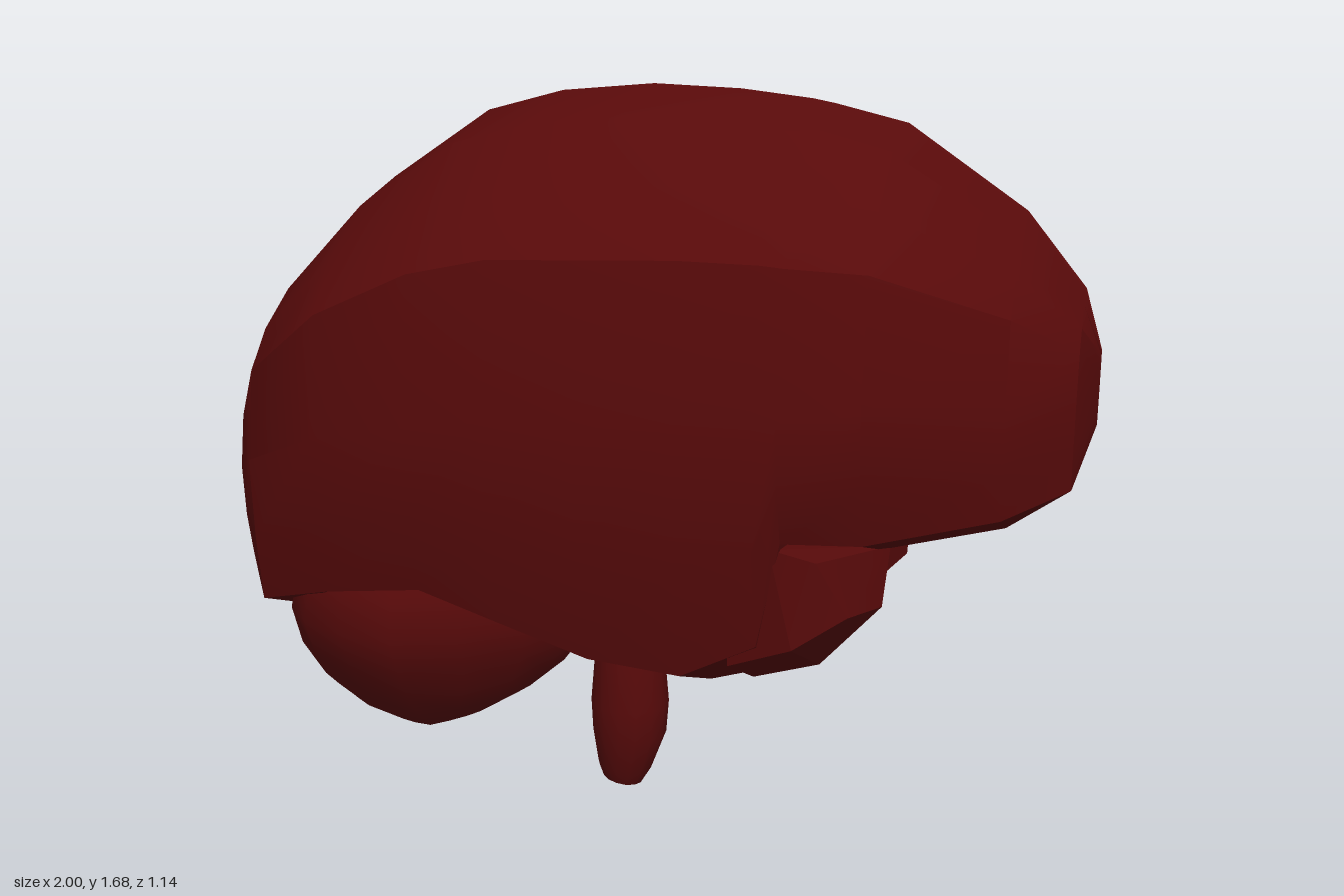
import * as THREE from 'three';
import { toCreasedNormals } from 'three/addons/utils/BufferGeometryUtils.js';

// Skin a series of closed rings (ordered back to front) and cap both ends.
function loft(rings, crease) {
  const n = rings[0].length, pos = [], index = [];
  rings.forEach((r) => r.forEach((p) => pos.push(...p)));
  for (let i = 0; i < rings.length - 1; i++) {
    for (let j = 0; j < n; j++) {
      const a = i * n + j, b = i * n + (j + 1) % n;
      index.push(a, b, a + n, b, b + n, a + n);
    }
  }
  [0, rings.length - 1].forEach((i) => {
    const mid = [0, 1, 2].map((k) => rings[i].reduce((s, p) => s + p[k], 0) / n);
    const c = pos.length / 3;
    pos.push(...mid);
    for (let j = 0; j < n; j++) {
      const a = i * n + j, b = i * n + (j + 1) % n;
      if (i === 0) index.push(c, b, a);
      else index.push(c, a, b);
    }
  });
  const g = new THREE.BufferGeometry();
  g.setAttribute('position', new THREE.Float32BufferAttribute(pos, 3));
  g.setIndex(index);
  return toCreasedNormals(g, crease);
}

const mirrorRing = (ring) => ring.map(([x, y, z]) => [x, y, -z]).reverse();

// One full cross-section of the cerebrum, with the groove between hemispheres.
function cerebrumRing([x, top, w, yw, zb, yb, zi, yi, ym]) {
  const h = top - yw;
  const half = [
    [x, top, Math.min(0.022, 0.5 * w)],
    [x, yw + 0.9 * h, 0.42 * w],
    [x, yw + 0.71 * h, 0.72 * w],
    [x, yw + 0.5 * h, 0.91 * w],
    [x, yw, w],
    [x, yw + 0.55 * (yb - yw), zb + 0.7 * (w - zb)],
    [x, yb, zb],
    [x, yi, zi],
    [x, ym, 0.4 * zi],
  ];
  return [[x * 0.99, top - 0.01, 0], ...half, [x * 0.99, ym, 0], ...mirrorRing(half)];
}

export function createModel() {
  const group = new THREE.Group();
  const tissue = new THREE.MeshStandardMaterial({ color: 0x580a0a });
  tissue.name = 'dark red tissue';
  const add = (name, geometry) => {
    const m = new THREE.Mesh(geometry, tissue);
    m.name = name;
    group.add(m);
    return m;
  };

  // Cerebrum: x, top, half width, widest y, outer low edge z/y, inner low edge z/y, middle y
  const sections = [
    [-1.0, 0.94, 0.05, 0.78, 0.05, 0.62, 0.03, 0.575, 0.58],
    [-0.95, 1.04, 0.23, 0.8, 0.2, 0.58, 0.1, 0.54, 0.56],
    [-0.84, 1.26, 0.38, 0.86, 0.35, 0.52, 0.2, 0.46, 0.5],
    [-0.62, 1.475, 0.5, 0.95, 0.45, 0.59, 0.2, 0.55, 0.58],
    [-0.38, 1.63, 0.55, 1.0, 0.49, 0.63, 0.2, 0.6, 0.6],
    [-0.2, 1.675, 0.565, 1.03, 0.5, 0.58, 0.2, 0.53, 0.56],
    [0, 1.69, 0.57, 1.03, 0.48, 0.51, 0.2, 0.43, 0.56],
    [0.2, 1.68, 0.56, 1.05, 0.47, 0.49, 0.2, 0.38, 0.64],
    [0.36, 1.66, 0.545, 1.06, 0.465, 0.57, 0.2, 0.43, 0.71],
    [0.41, 1.65, 0.54, 1.06, 0.48, 0.8, 0.17, 0.73, 0.75],
    [0.57, 1.61, 0.515, 1.08, 0.45, 0.8, 0.17, 0.71, 0.73],
    [0.83, 1.43, 0.37, 1.07, 0.33, 0.84, 0.15, 0.775, 0.78],
    [0.96, 1.27, 0.22, 1.07, 0.2, 0.88, 0.1, 0.86, 0.86],
    [1.0, 1.14, 0.03, 1.07, 0.02, 1.0, 0.01, 0.98, 0.98],
  ];
  add('cerebrum', loft(sections.map(cerebrumRing), 0.45));

  // Temporal lobe tips, tapering forward under the frontal lobes
  const tip = [
    [[0.3, 0.8, 0.5], [0.3, 0.52, 0.46], [0.3, 0.4, 0.21], [0.3, 0.74, 0.17]],
    [[0.39, 0.79, 0.49], [0.43, 0.56, 0.44], [0.45, 0.45, 0.22], [0.45, 0.74, 0.17]],
    [[0.47, 0.74, 0.4], [0.53, 0.61, 0.35], [0.58, 0.59, 0.2], [0.59, 0.72, 0.17]],
  ];
  add('leftTemporalTip', loft(tip, 0.3));
  add('rightTemporalTip', loft(tip.map(mirrorRing), 0.3));

  // Cerebellum: two lobes with sloping flanks that merge at the middle and close in on the stem
  for (const side of [1, -1]) {
    const g = new THREE.SphereGeometry(1, 16, 10);
    const p = g.attributes.position;
    for (let i = 0; i < p.count; i++) {
      const x = p.getX(i), y0 = p.getY(i), z0 = p.getZ(i);
      const front = Math.max(0, x), low = Math.max(0, -y0);
      const flank = z0 > 0 ? 1 - 0.35 * low : 1 + 0.6 * low;
      const y = y0 * 0.29 * (1 - 0.25 * front);
      const z = z0 * 0.25 * flank * (1 - 0.2 * front) + 0.23 - 0.12 * front;
      p.setXYZ(i, -0.46 + 0.35 * x, 0.495 + y, side * z);
    }
    // Reverse the corners of the mirrored lobe
    if (side < 0) g.setIndex(Array.from(g.index.array).reverse());
    g.computeVertexNormals();
    add(side > 0 ? 'leftCerebellum' : 'rightCerebellum', g);
  }

  // Brain stem: swollen stalk with a slightly slanted end
  const profile = [[0, 0], [0.05, 0.005], [0.065, 0.04], [0.09, 0.14], [0.095, 0.22],
    [0.085, 0.34], [0.07, 0.46], [0.065, 0.6]].map(([r, y]) => new THREE.Vector2(r, y));
  const stemShape = new THREE.LatheGeometry(profile, 14);
  const sp = stemShape.attributes.position;
  for (let i = 0; i < sp.count; i++) {
    const y = sp.getY(i), low = Math.max(0, 1 - y / 0.15);
    sp.setX(i, sp.getX(i) - 0.02 * low);
    sp.setY(i, y + low * (0.012 - 0.2 * (sp.getX(i) + 0.02)));
  }
  const stem = add('brainStem', toCreasedNormals(stemShape, 0.7));
  stem.position.set(-0.055, 0, 0);

  return group;
}
